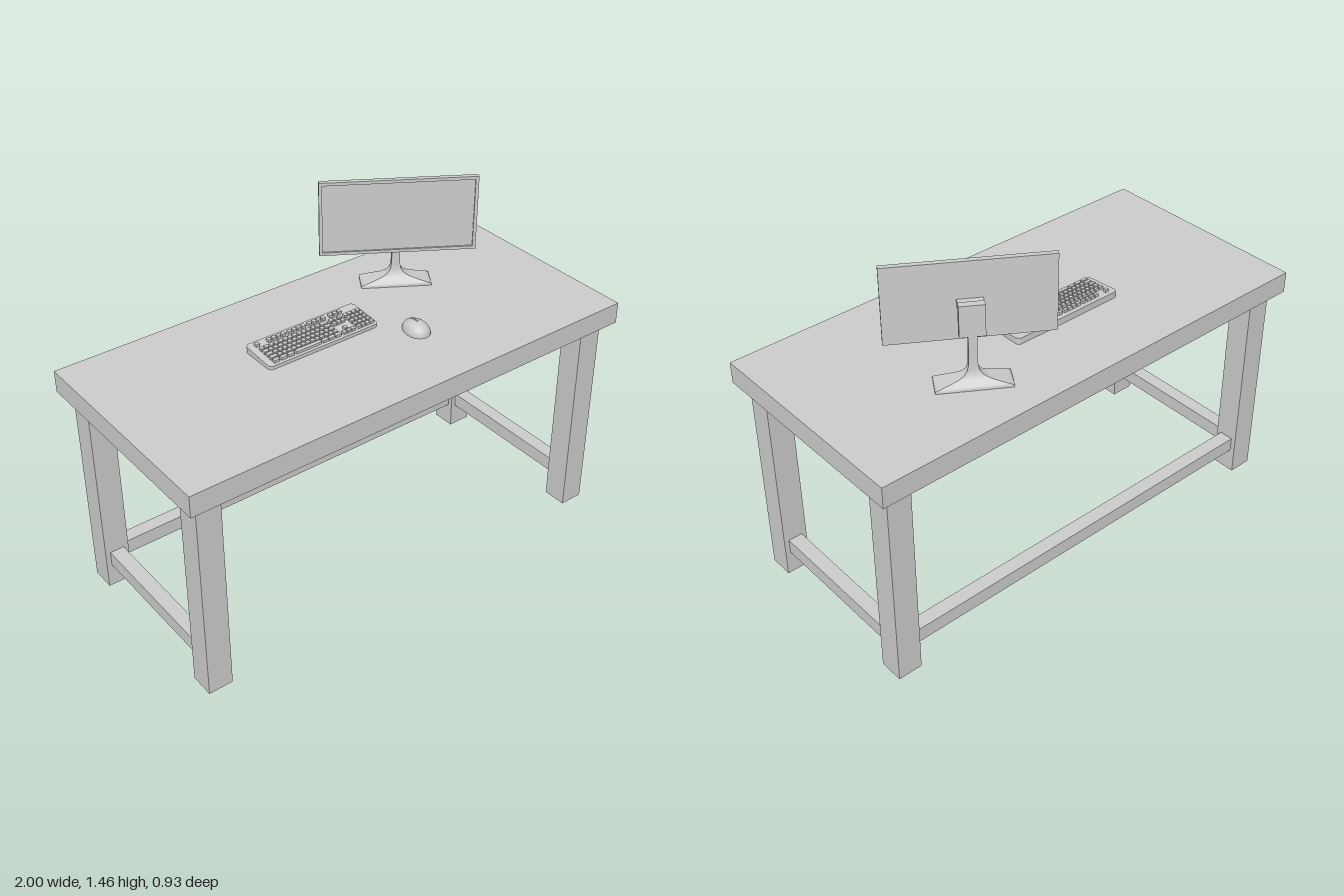
import * as THREE from 'three';
import { toCreasedNormals } from 'three/addons/utils/BufferGeometryUtils.js';

const grey = new THREE.MeshStandardMaterial({ color: 0xcccccc });
const TOP = 0.975; // height of the table surface

function add(parent, name, geometry, x = 0, y = 0, z = 0) {
  const mesh = new THREE.Mesh(geometry, grey);
  mesh.name = name;
  mesh.position.set(x, y, z);
  parent.add(mesh);
  return mesh;
}
const box = (parent, name, w, h, d, x, y, z) =>
  add(parent, name, new THREE.BoxGeometry(w, h, d), x, y, z);

function rectangle(target, w, h) {
  target.moveTo(-w / 2, -h / 2);
  target.lineTo(w / 2, -h / 2);
  target.lineTo(w / 2, h / 2);
  target.lineTo(-w / 2, h / 2);
  target.closePath();
  return target;
}

function roundedRectangle(w, h, r) {
  const s = new THREE.Shape();
  s.absarc(w / 2 - r, h / 2 - r, r, 0, Math.PI / 2);
  s.absarc(-w / 2 + r, h / 2 - r, r, Math.PI / 2, Math.PI);
  s.absarc(-w / 2 + r, -h / 2 + r, r, Math.PI, Math.PI * 1.5);
  s.absarc(w / 2 - r, -h / 2 + r, r, Math.PI * 1.5, Math.PI * 2);
  return s;
}

function createTable() {
  const table = new THREE.Group();
  table.name = 'table';
  box(table, 'tableTop', 2, 0.09, 0.925, 0, 0.93, 0);
  for (const x of [-0.905, 0.905]) {
    for (const z of [-0.367, 0.367]) box(table, 'leg', 0.102, 0.885, 0.102, x, 0.4425, z);
    box(table, 'sideStretcher', 0.06, 0.062, 0.634, x, 0.133, 0);
  }
  box(table, 'backStretcher', 1.71, 0.062, 0.06, 0, 0.133, -0.367);
  return table;
}

// Rectangular cross-sections [y, width, depth] joined into one smooth body
function loft(sections) {
  const n = sections.length - 1;
  const g = new THREE.BoxGeometry(1, 1, 1, 1, n, 1);
  const p = g.attributes.position;
  for (let i = 0; i < p.count; i++) {
    const [y, w, d] = sections[Math.round((p.getY(i) + 0.5) * n)];
    p.setXYZ(i, p.getX(i) * w, y, p.getZ(i) * d);
  }
  g.computeVertexNormals();
  return g;
}

function createMonitor() {
  const monitor = new THREE.Group();
  monitor.name = 'monitor';
  // foot flaring up into the neck
  add(monitor, 'stand', loft([
    [0, 0.284, 0.1], [0.009, 0.284, 0.1], [0.014, 0.25, 0.092], [0.024, 0.18, 0.075],
    [0.034, 0.115, 0.055], [0.046, 0.07, 0.04], [0.062, 0.045, 0.03],
    [0.085, 0.035, 0.026], [0.13, 0.032, 0.024], [0.22, 0.032, 0.024],
  ]));
  box(monitor, 'neckHousing', 0.095, 0.13, 0.028, 0, 0.27, 0);
  box(monitor, 'bracket', 0.095, 0.026, 0.05, 0, 0.317, 0.03);
  // screen with a raised rim
  const W = 0.622, H = 0.315, Y = 0.3225;
  box(monitor, 'screenPanel', W, H, 0.013, 0, Y, 0.0485);
  const rim = rectangle(new THREE.Shape(), W, H);
  rim.holes.push(rectangle(new THREE.Path(), W - 0.026, H - 0.026));
  add(monitor, 'screenRim', new THREE.ExtrudeGeometry(rim, { depth: 0.007, bevelEnabled: false }), 0, Y, 0.055);
  monitor.position.set(0.411, TOP, -0.213);
  monitor.rotation.y = -0.555;
  return monitor;
}

function createKeyboard() {
  const keyboard = new THREE.Group();
  keyboard.name = 'keyboard';
  const W = 0.508, D = 0.165;
  const topY = (z) => 0.021 - 0.08 * z; // sloping top face, higher at the back

  const body = new THREE.ExtrudeGeometry(roundedRectangle(W, D, 0.018), { depth: 1, bevelEnabled: false, curveSegments: 5 });
  body.rotateX(-Math.PI / 2);
  const p = body.attributes.position;
  for (let i = 0; i < p.count; i++) p.setY(i, p.getY(i) > 0.5 ? topY(p.getZ(i)) : 0);
  add(keyboard, 'keyboardBody', toCreasedNormals(body, 0.6));

  const key = (x, z, w = 0.016) => {
    box(keyboard, 'key', w, 0.015, 0.015, x, topY(z) + 0.004, z).rotation.x = 0.08;
  };
  // function row, in clusters
  const fz = -0.055;
  key(-0.218, fz);
  for (let i = 0; i < 12; i++) key(-0.163 + i * 0.0215 + Math.floor(i / 4) * 0.008, fz);
  for (let i = 0; i < 3; i++) key(0.125 + i * 0.021, fz);

  for (let r = 0; r < 5; r++) {
    const z = -0.023 + r * 0.0215;
    // letter block with wider end keys, and the space bar in the last row
    const first = 0.016 + r * 0.005;
    if (r < 4) {
      key(-0.226 + first / 2, z, first);
      const start = -0.226 + first + 0.0135;
      let x = start;
      for (; x < 0.06; x += 0.0215) key(x, z);
      const left = x - 0.008;
      key((left + 0.084) / 2, z, 0.084 - left);
    } else {
      for (const x of [-0.213, -0.18, -0.147, 0.012, 0.042, 0.072]) key(x, z, 0.025);
      key(-0.067, z, 0.115);
    }
    // navigation keys and arrows
    if (r < 2) for (let i = 0; i < 3; i++) key(0.104 + i * 0.02, z, 0.015);
    if (r === 3) key(0.124, z, 0.015);
    if (r === 4) for (let i = 0; i < 3; i++) key(0.104 + i * 0.02, z, 0.015);
    // number pad
    for (let i = 0; i < 4; i++) key(0.173 + i * 0.02, z, 0.0155);
  }
  keyboard.position.set(-0.115, TOP, -0.0625);
  return keyboard;
}

function createMouse() {
  const mouse = new THREE.Group();
  mouse.name = 'mouse';
  // egg-shaped dome, narrower towards the buttons
  const shell = new THREE.SphereGeometry(1, 32, 14, 0, Math.PI * 2, 0, Math.PI / 2);
  const p = shell.attributes.position;
  for (let i = 0; i < p.count; i++) {
    const x = p.getX(i), y = p.getY(i), z = p.getZ(i);
    p.setXYZ(i, x * 0.047 * (1 + 0.13 * z), y * (0.047 + 0.004 * z), z * 0.066);
  }
  shell.computeVertexNormals();
  add(mouse, 'mouseShell', shell);
  const base = new THREE.CircleGeometry(1, 32).rotateX(Math.PI / 2).scale(0.046, 1, 0.065);
  add(mouse, 'mouseBase', base, 0, 0.0005, 0);
  const wheel = new THREE.CylinderGeometry(0.01, 0.01, 0.006, 16).rotateZ(Math.PI / 2);
  add(mouse, 'scrollWheel', wheel, 0, 0.042, -0.012);
  for (const z of [-0.028, 0.006]) box(mouse, 'mouseButton', 0.008, 0.006, 0.007, 0, z < 0 ? 0.0405 : 0.046, z);
  mouse.position.set(0.234, TOP, 0.13);
  return mouse;
}

export function createModel() {
  const model = new THREE.Group();
  model.name = 'computerDesk';
  model.add(createTable(), createMonitor(), createKeyboard(), createMouse());
  return model;
}
